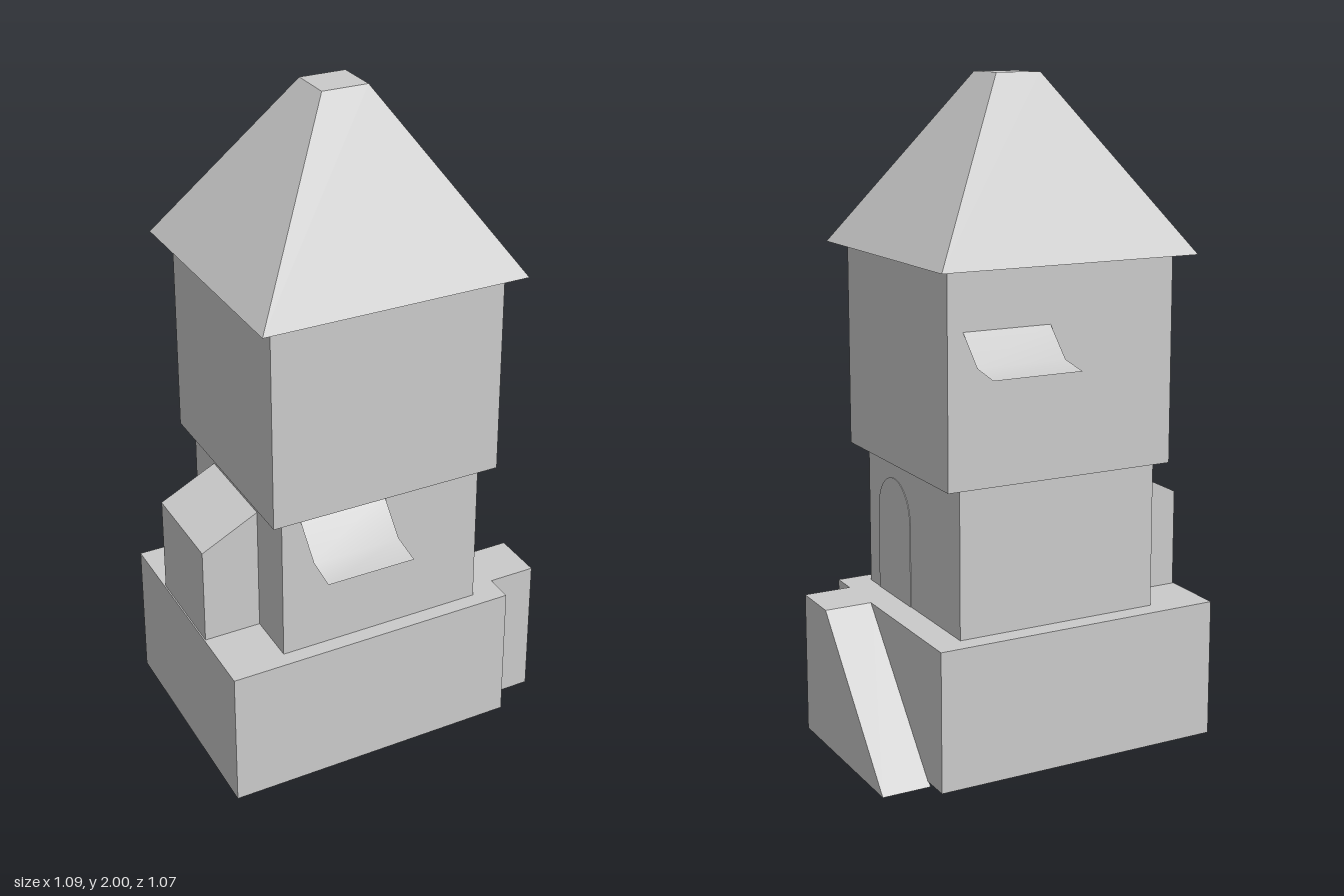
import * as THREE from 'three';

const material = new THREE.MeshStandardMaterial({ color: 0xcccccc, side: THREE.DoubleSide });

// The whole plan is slightly skewed and set off centre.
const skew = new THREE.Matrix4().set(
  1, 0, -0.028, -0.022,
  0, 1, 0, 0,
  -0.028, 0, 1, 0.008,
  0, 0, 0, 1
);

export function createModel() {
  const tower = new THREE.Group();
  tower.name = 'tower';

  function add(name, geometry, smooth = false) {
    const g = smooth || !geometry.index ? geometry : geometry.toNonIndexed();
    g.applyMatrix4(skew);
    g.computeVertexNormals();
    const mesh = new THREE.Mesh(g, material);
    mesh.name = name;
    tower.add(mesh);
  }

  // Box given by its low and high limits on each axis
  function box(x0, x1, y0, y1, z0, z1) {
    return new THREE.BoxGeometry(x1 - x0, y1 - y0, z1 - z0)
      .translate((x0 + x1) / 2, (y0 + y1) / 2, (z0 + z1) / 2);
  }

  // Side outline pushed out to a solid
  function extrude(points, depth) {
    const shape = new THREE.Shape(points.map(([x, y]) => new THREE.Vector2(x, y)));
    return new THREE.ExtrudeGeometry(shape, { depth, bevelEnabled: false });
  }

  // Plinth, open underneath
  const plinth = box(-0.512, 0.408, 0.012, 0.43, -0.38, 0.383);
  const index = Array.from(plinth.index.array);
  index.splice(18, 6);
  plinth.setIndex(index);
  add('plinth', plinth);

  // Storeys
  add('lowerStorey', box(-0.331, 0.317, 0.43, 0.872, -0.318, 0.332));
  add('upperStorey', box(-0.367, 0.368, 0.872, 1.487, -0.35, 0.357));

  // Roof: square pyramid with a flat top
  const roof = new THREE.CylinderGeometry(0.0725 * Math.SQRT2, 0.414 * Math.SQRT2, 0.51, 4)
    .rotateY(Math.PI / 4)
    .translate(0, 1.745, 0);
  add('roof', roof);

  // Landing and ramp against the plinth's left side
  const ramp = extrude([[-0.292, 0], [0.296, 0], [-0.122, 0.43], [-0.292, 0.43]], 0.152)
    .rotateY(Math.PI / 2)
    .translate(0.405, 0, 0);
  add('ramp', ramp);

  // Bay with a sloping roof on the right side
  const bay = extrude([[-0.508, 0.43], [-0.331, 0.43], [-0.331, 0.812], [-0.508, 0.725]], 0.325)
    .translate(0, 0, -0.168);
  add('bay', bay);

  // Arched door on the left side
  const arch = new THREE.Shape();
  arch.moveTo(-0.117, 0);
  arch.lineTo(0.117, 0);
  arch.lineTo(0.117, 0.253);
  arch.absarc(0, 0.253, 0.117, 0, Math.PI, false);
  arch.lineTo(-0.117, 0);
  const door = new THREE.ExtrudeGeometry(arch, { depth: 0.002, bevelEnabled: false, curveSegments: 10 })
    .rotateY(Math.PI / 2)
    .translate(0.317, 0.43, 0.14);
  add('door', door);

  // Thin bent awning: profile of [outward, y] points swept across its width
  function awning(name, x0, x1, profile, side) {
    const g = new THREE.PlaneGeometry(1, 1, 1, profile.length - 1);
    const p = g.attributes.position;
    for (let i = 0; i < p.count; i++) {
      const [out, y] = profile[Math.floor(i / 2)];
      const left = (i % 2 === 0) === (side > 0);
      p.setXYZ(i, left ? x0 : x1, y, out * side);
    }
    add(name, g, true);
  }
  awning('frontAwning', -0.274, 0.0, [[0.332, 0.867], [0.424, 0.775], [0.519, 0.757]], 1);
  awning('backAwning', 0.042, 0.32, [[0.35, 1.317], [0.438, 1.232], [0.535, 1.215]], -1);

  return tower;
}
